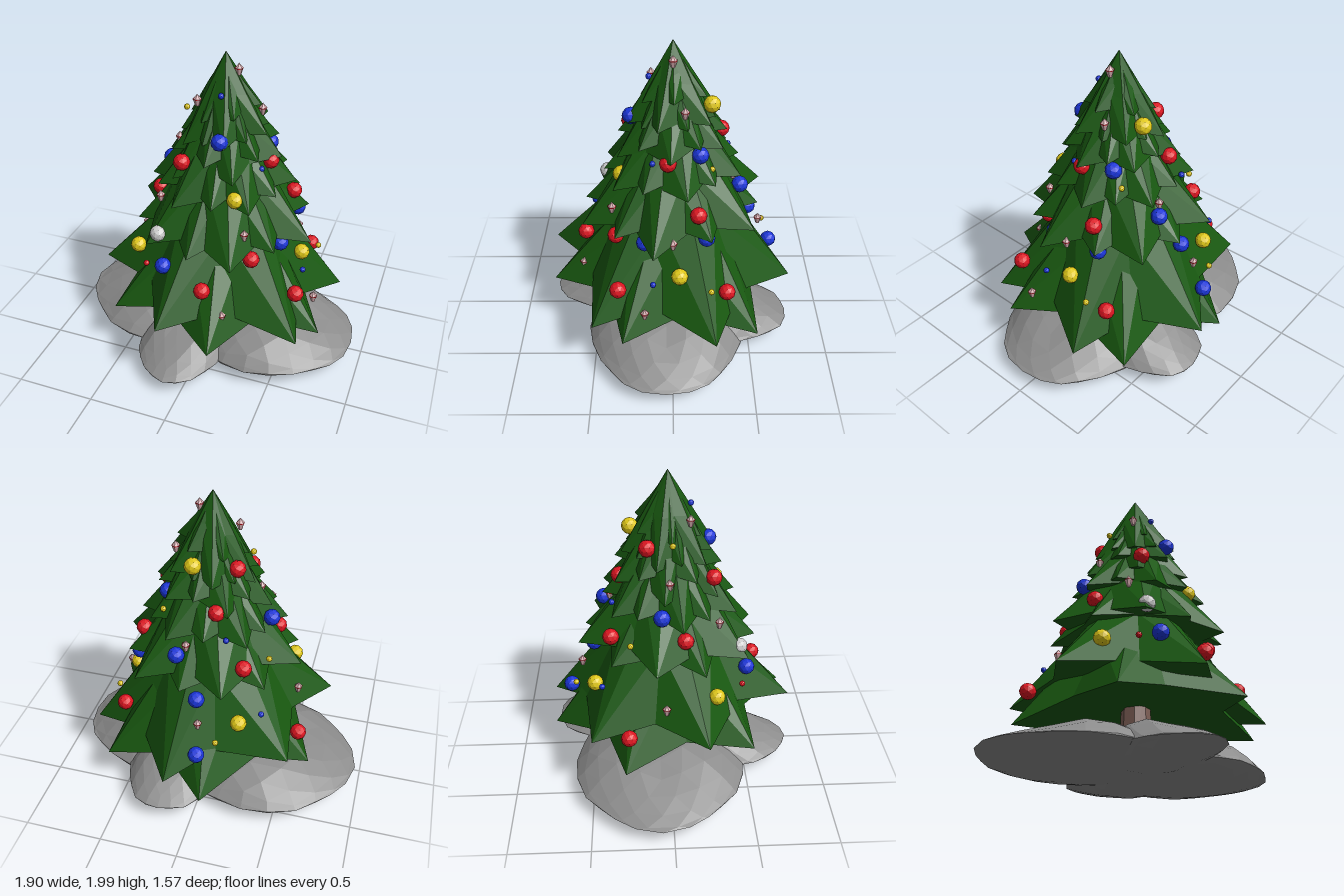
import * as THREE from 'three';

const material = (color) => new THREE.MeshStandardMaterial({ color, flatShading: true });
const mats = {
  green: material(0x185810), bark: material(0x7d5f56), rock: material(0x8c8c8c),
  red: material(0xdc1420), blue: material(0x1a35d8), yellow: material(0xe0c818),
  silver: material(0xc4c4c4), pink: material(0xdcb0b4),
};
const AXIS_X = 0.03;

function add(parent, name, geometry, mat, x = 0, y = 0, z = 0) {
  const mesh = new THREE.Mesh(geometry, mat);
  mesh.name = name;
  mesh.position.set(x, y, z);
  parent.add(mesh);
  return mesh;
}

// Six-pointed skirt: apex, mid ring, star-shaped rim and a hollowed underside
function branchSkirt({ top, y, r, turn, tiltX = 0, tiltZ = 0 }) {
  const n = 12, pos = [0, top, 0], index = [];
  const ring = (scale, t, valley) => {
    for (let i = 0; i < n; i++) {
      const isTip = i % 2 === 0;
      const a = THREE.MathUtils.degToRad(turn + i * 30 + 3 * Math.sin(i * 2.3 + turn));
      const rad = r * scale * (isTip ? 1 : valley) * (1 + 0.02 * Math.sin(i * 3.7 + turn));
      const x = Math.cos(a) * rad, z = Math.sin(a) * rad;
      const rim = y + (isTip ? 0 : 0.1 * r);
      pos.push(x, THREE.MathUtils.lerp(top, rim, t) + (tiltX * x + tiltZ * z) * t, z);
    }
  };
  ring(0.5, 0.5, 0.84);
  ring(1, 1, 0.7);
  pos.push(0, y + 0.2 * r, 0);
  const under = 1 + 2 * n;
  for (let i = 0; i < n; i++) {
    const j = (i + 1) % n;
    const m0 = 1 + i, m1 = 1 + j, e0 = m0 + n, e1 = m1 + n;
    index.push(0, m1, m0);
    // Split each panel so that the ridge runs straight to the tip
    if (i % 2 === 0) index.push(m0, m1, e0, m1, e1, e0);
    else index.push(m0, m1, e1, m0, e1, e0);
    index.push(under, e0, e1);
  }
  const g = new THREE.BufferGeometry();
  g.setAttribute('position', new THREE.Float32BufferAttribute(pos, 3));
  g.setIndex(index);
  const flat = g.toNonIndexed();
  flat.computeVertexNormals();
  return flat;
}

// Flattened boulder: tapers to sharp ends along its long axis, blunt on its sides
function boulder(rx, rz, height, depth, seed) {
  const g = new THREE.IcosahedronGeometry(1, 3);
  const p = g.attributes.position, v = new THREE.Vector3();
  for (let i = 0; i < p.count; i++) {
    v.fromBufferAttribute(p, i);
    const rho = Math.min(1, Math.hypot(v.x, v.z));
    const along = rho < 1e-6 ? 0 : ((rx > rz ? v.x : v.z) / rho) ** 2;
    const lens = 1 - rho ** THREE.MathUtils.lerp(3, 1.45, along);
    const k = 1 + 0.03 * Math.sin(v.x * 5 + seed) * Math.cos(v.z * 4 + seed * 2);
    const bump = 1 + 0.05 * Math.sin(v.x * 7 + v.z * 6 + seed);
    p.setXYZ(i, v.x * rx * k, lens * bump * (v.y > 0 ? height : -depth), v.z * rz * k);
  }
  g.computeVertexNormals();
  return g;
}

export function createModel() {
  const model = new THREE.Group();
  model.name = 'decoratedTree';

  // Rocky base: x, z, radii, rim height, height above and depth below the rim
  const rocks = new THREE.Group();
  rocks.name = 'rockBase';
  model.add(rocks);
  [
    [-0.31, -0.07, 0.64, 0.55, 0.105, 0.19, 0.075],
    [0.35, 0.04, 0.59, 0.50, 0.10, 0.21, 0.09],
    [-0.1, 0.28, 0.31, 0.52, 0.10, 0.18, 0.07],
    [0.2, -0.3, 0.31, 0.47, 0.115, 0.19, 0.085],
  ].forEach(([x, z, rx, rz, y, h, d], i) =>
    add(rocks, 'rock', boulder(rx, rz, h, d, i * 1.7), mats.rock, x, y, z));

  add(model, 'trunk', new THREE.CylinderGeometry(0.085, 0.105, 0.4, 8), mats.bark, AXIS_X, 0.38, 0);

  // Foliage: twisted pairs of skirts, tier by tier
  const foliage = new THREE.Group();
  foliage.name = 'foliage';
  model.add(foliage);
  [
    { top: 1.40, y: 0.435, r: 0.79, turn: -19, tiltX: -0.11, tiltZ: 0.05 },
    { top: 1.30, y: 0.325, r: 0.775, turn: 20, tiltX: 0, tiltZ: 0.08 },
    { top: 1.62, y: 0.91, r: 0.60, turn: 8, tiltX: -0.03, tiltZ: -0.06 },
    { top: 1.55, y: 0.91, r: 0.55, turn: 38, tiltX: 0.04, tiltZ: -0.03 },
    { top: 1.76, y: 1.17, r: 0.455, turn: -8, tiltX: 0.02, tiltZ: -0.06 },
    { top: 1.72, y: 1.20, r: 0.42, turn: 25, tiltX: 0.02, tiltZ: -0.06 },
    { top: 1.88, y: 1.34, r: 0.37, turn: 5, tiltX: 0.13, tiltZ: -0.13 },
    { top: 1.86, y: 1.42, r: 0.33, turn: 33, tiltX: 0.06, tiltZ: -0.05 },
    { top: 2.00, y: 1.51, r: 0.295, turn: 14, tiltX: 0.16, tiltZ: -0.05 },
    { top: 1.94, y: 1.52, r: 0.265, turn: 44, tiltX: 0.08, tiltZ: -0.04 },
    { top: 1.98, y: 1.65, r: 0.215, turn: -4, tiltX: 0.2, tiltZ: -0.1 },
  ].forEach((s) => add(foliage, 'branchSkirt', branchSkirt(s), mats.green, AXIS_X, 0, 0));

  // Large and small baubles by colour
  const ornaments = new THREE.Group();
  ornaments.name = 'ornaments';
  model.add(ornaments);
  const large = {
    red: [[-0.15, 1.38, 0.27], [0.33, 1.36, 0.03], [-0.37, 1.07, 0.09], [0.08, 0.69, 0.56],
      [0.32, 0.84, 0.35], [0.6, 0.64, 0.33], [-0.59, 0.52, -0.26], [0.44, 1.07, -0.15],
      [0.54, 0.57, -0.33], [-0.07, 1.37, -0.3], [-0.25, 1.04, -0.36], [-0.15, 1.58, -0.13]],
    blue: [[0.08, 1.54, 0.25], [-0.35, 1.22, -0.05], [-0.2, 0.76, 0.49], [0.45, 0.88, 0.17],
      [0.27, 1.38, -0.16], [0.46, 0.92, -0.2], [0.15, 1.1, -0.41], [0.01, 0.84, -0.48],
      [-0.03, 0.54, -0.64]],
    yellow: [[0.2, 1.21, 0.31], [-0.46, 0.72, 0.28], [0.54, 0.69, -0.04], [0.09, 1.62, -0.23],
      [-0.25, 0.7, -0.47]],
    silver: [[-0.25, 0.95, 0.43]],
  };
  const small = {
    blue: [[0.05, 1.78, 0.14], [0.3, 1.34, 0.12], [0.59, 0.67, 0.12], [-0.38, 0.76, -0.42],
      [-0.14, 1.22, -0.35]],
    yellow: [[0.28, 1.29, -0.23], [0.61, 0.63, -0.23], [-0.21, 1.62, 0.02], [-0.14, 0.63, -0.6],
      [-0.38, 1.05, -0.24]],
    red: [[-0.33, 0.72, 0.45]],
  };
  const scatter = (sets, name, geometry) => {
    for (const [color, spots] of Object.entries(sets))
      for (const p of spots) add(ornaments, name, geometry, mats[color], ...p);
  };
  scatter(large, 'bauble', new THREE.IcosahedronGeometry(0.052, 1));
  scatter(small, 'smallBauble', new THREE.IcosahedronGeometry(0.019, 1));

  // Pointed lanterns with a thin red belt
  const lantern = new THREE.LatheGeometry(
    [[0, -0.037], [0.012, -0.037], [0.026, 0.006], [0, 0.038]].map(([x, y]) => new THREE.Vector2(x, y)), 6);
  const belt = new THREE.CylinderGeometry(0.0265, 0.0265, 0.004, 6);
  [
    [0.11, 1.9, 0], [-0.1, 1.73, 0.13], [-0.28, 1.14, 0.3], [0.28, 1.02, 0.37], [0.21, 0.54, 0.57],
    [0.68, 0.52, 0.17], [0.24, 1.64, -0.07], [-0.27, 1.4, 0], [-0.54, 0.69, -0.03],
    [0.32, 0.93, -0.39], [-0.02, 0.72, -0.56], [0.1, 1.15, -0.37], [0.52, 0.92, 0],
  ].forEach((p) => {
    const group = new THREE.Group();
    group.name = 'lantern';
    group.position.set(...p);
    add(group, 'lanternBody', lantern, mats.pink);
    add(group, 'lanternBelt', belt, mats.red, 0, 0.006, 0);
    ornaments.add(group);
  });

  return model;
}
